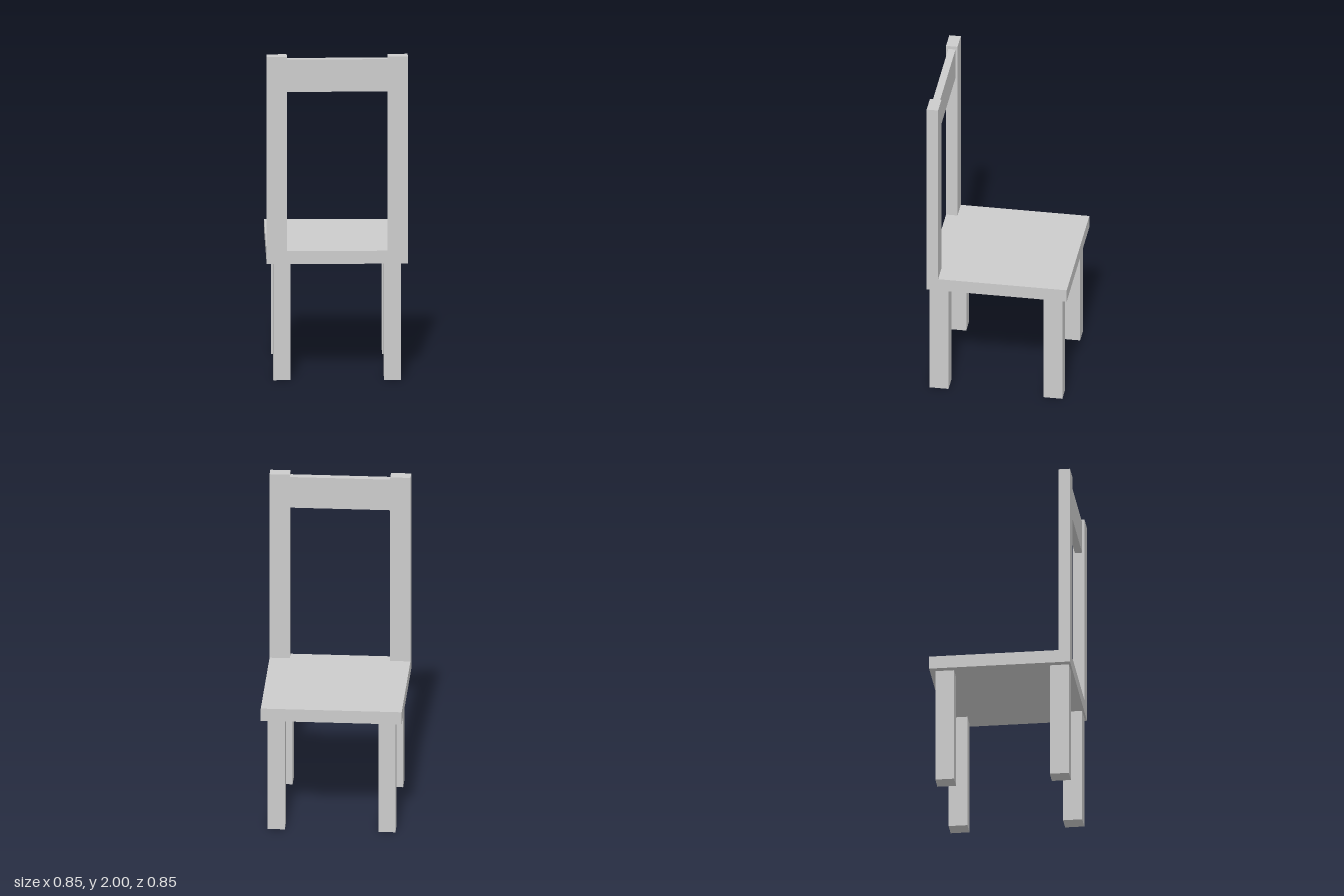
import * as THREE from 'three';

export function createModel() {
  const chair = new THREE.Group();
  chair.name = 'chair';
  const material = new THREE.MeshStandardMaterial({ color: 0xcccccc, flatShading: true });

  // Box given by its lower and upper limits on each axis
  function addBox(name, [x0, x1], [y0, y1], [z0, z1]) {
    const mesh = new THREE.Mesh(new THREE.BoxGeometry(x1 - x0, y1 - y0, z1 - z0), material);
    mesh.position.set((x0 + x1) / 2, (y0 + y1) / 2, (z0 + z1) / 2);
    mesh.name = name;
    chair.add(mesh);
  }

  const half = 0.425;
  const seatBottom = 0.72;
  const seatTop = 0.8;

  // Seat slab
  addBox('seat', [-half, half], [seatBottom, seatTop], [-0.427, 0.427]);

  // Legs and backrest posts, mirrored; the backrest stands at +z
  for (const [side, s] of [['left', 1], ['right', -1]]) {
    const span = (a, b) => (s > 0 ? [a, b] : [-b, -a]);
    addBox(`${side}LegBackrestEnd`, span(0.282, 0.385), [0, seatBottom], [0.3, 0.416]);
    addBox(`${side}LegOpenEnd`, span(0.282, 0.385), [0, seatBottom], [-0.394, -0.28]);
    addBox(`${side}BackPost`, span(0.303, half), [seatTop, 2], [0.357, 0.427]);
  }

  // Thin rail between the posts
  addBox('backRail', [-0.303, 0.303], [1.78, 1.98], [0.369, 0.413]);

  return chair;
}
